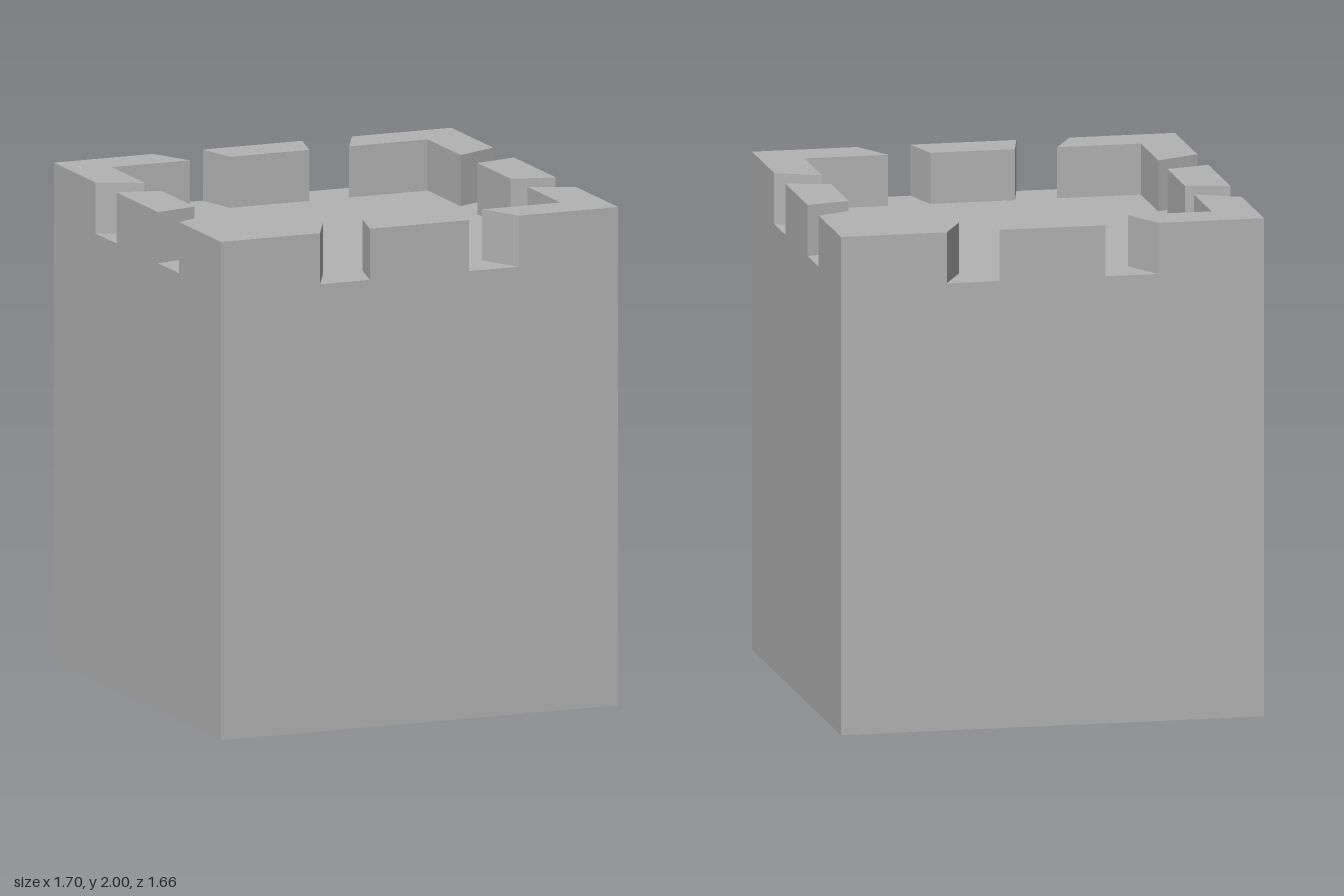
import * as THREE from 'three';

// Half sizes of the square tower, and its heights
const HALF_X = 0.85, HALF_Z = 0.83;
const DECK = 1.795, TOP = 2;
const INNER = 0.795; // inner face of the parapet, as a fraction of the half size

// Plan outlines on a unit square, repeated on all four sides
const CORNER = [[1, 1], [0.5, 1], [0.4, INNER], [INNER, INNER], [INNER, 0.4], [1, 0.5]];
const MERLON = [[-0.25, 1], [-0.2, INNER], [0.2, INNER], [0.25, 1]];

export function createModel() {
  const model = new THREE.Group();
  const stone = new THREE.MeshStandardMaterial({ color: 0xb3b3b3 });
  stone.name = 'stoneGrey';

  const body = new THREE.Mesh(new THREE.BoxGeometry(2 * HALF_X, DECK, 2 * HALF_Z), stone);
  body.name = 'towerBody';
  body.position.y = DECK / 2;
  model.add(body);

  // Turn an outline by quarter turns, fit it to the tower and raise it from the deck
  function addBlock(name, outline, turns) {
    const points = outline.map(([x, y]) => {
      for (let i = 0; i < turns; i++) [x, y] = [-y, x];
      return new THREE.Vector2(x * HALF_X, y * HALF_Z);
    });
    const geometry = new THREE.ExtrudeGeometry(new THREE.Shape(points), {
      depth: TOP - DECK, bevelEnabled: false,
    });
    geometry.rotateX(-Math.PI / 2);
    const block = new THREE.Mesh(geometry, stone);
    block.name = name;
    block.position.y = DECK;
    model.add(block);
  }

  // Parapet: an angled corner block and a middle merlon per side
  for (let side = 0; side < 4; side++) {
    addBlock(`cornerMerlon${side + 1}`, CORNER, side);
    addBlock(`middleMerlon${side + 1}`, MERLON, side);
  }
  return model;
}
